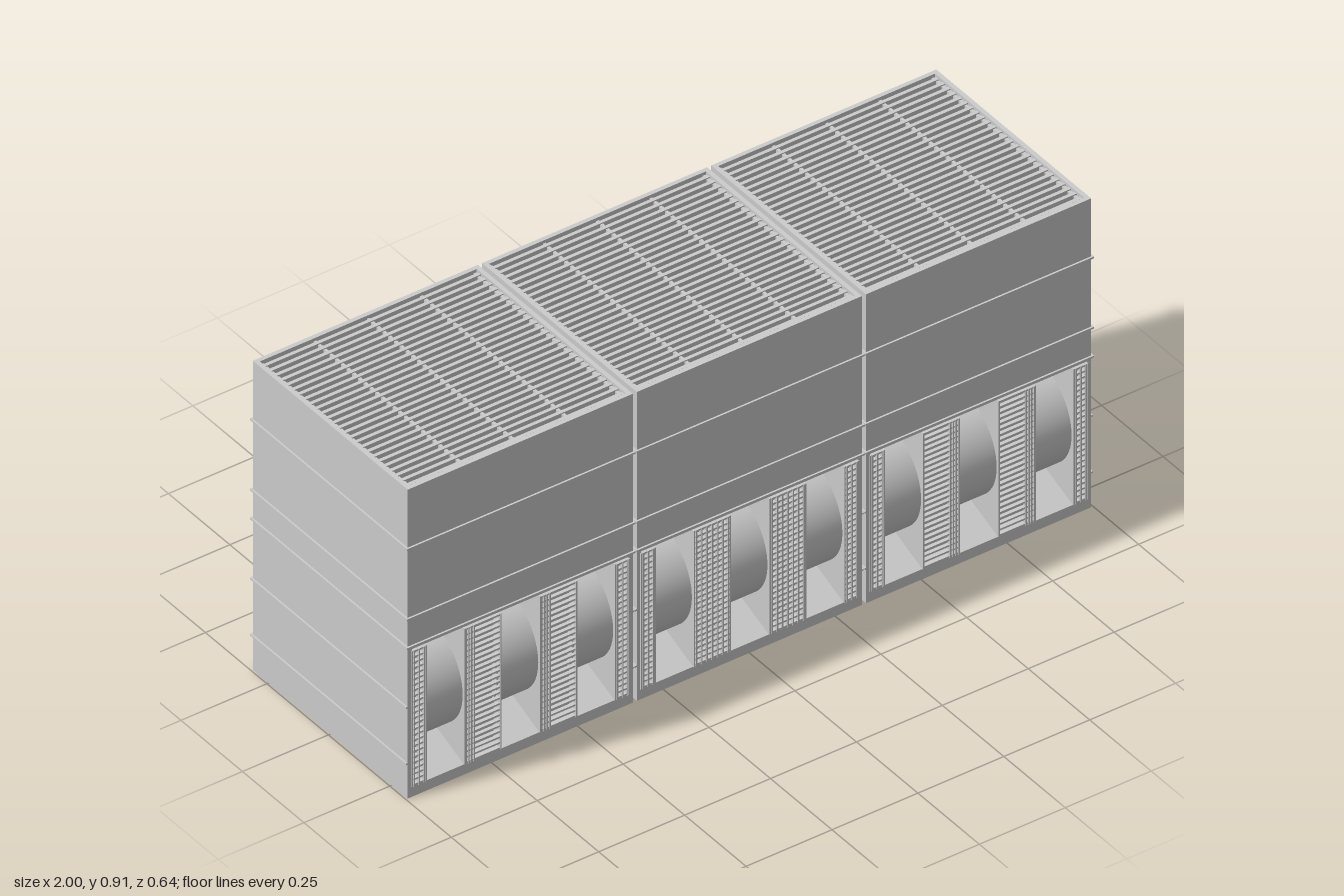
import * as THREE from 'three';
import { mergeGeometries } from 'three/addons/utils/BufferGeometryUtils.js';

const mat = new THREE.MeshStandardMaterial({ color: 0xcccccc });
const W = 0.655, H = 0.91, Z = 0.315, PITCH = 0.667, WALL = 0.012;
const OPEN_LOW = 0.03, OPEN_HIGH = 0.435, BACK = 0.165;

// box from its centre and size
function box(x, y, z, w, h, d) {
  return new THREE.BoxGeometry(w, h, d).translate(x, y, z);
}

function part(name, geometries) {
  const mesh = new THREE.Mesh(mergeGeometries(geometries), mat);
  mesh.name = name;
  return mesh;
}

// side profile (z, y) with a tapered front mouth and a sunken top, run along x
function housing() {
  const profile = new THREE.Shape([
    [-Z, 0], [Z, 0], [Z, OPEN_LOW], [BACK, 0.088], [BACK, 0.376], [Z, OPEN_HIGH],
    [Z, H], [Z - WALL, H], [Z - WALL, H - 0.03], [-Z + WALL, H - 0.03], [-Z + WALL, H], [-Z, H],
  ].map(([z, y]) => new THREE.Vector2(z, y)));
  const inner = W - 2 * WALL;
  const core = new THREE.ExtrudeGeometry(profile, { depth: inner, bevelEnabled: false })
    .translate(0, 0, -inner / 2).rotateY(-Math.PI / 2).toNonIndexed();
  const walls = [-1, 1].map(s =>
    box(s * (W - WALL) / 2, H / 2, 0, WALL, H, 2 * Z).toNonIndexed());
  return part('housing', [core, ...walls]);
}

// thin raised seams; the two low ones leave the front mouth free
function seams() {
  const t = 0.005, out = 0.005, list = [];
  for (const y of [0.445, 0.53, 0.737]) {
    list.push(box(0, y, 0, W + 2 * out, t, 2 * (Z + out)));
  }
  for (const y of [0.102, 0.268]) {
    list.push(box(0, y, -Z, W + 2 * out, t, 2 * out));
    for (const s of [-1, 1]) list.push(box(s * W / 2, y, 0, 2 * out, t, 2 * Z));
  }
  return part('seams', list);
}

// slats along x on a few cross bars
function topGrate() {
  const list = [], slats = 26, w = W - 2 * WALL, d = 2 * (Z - WALL);
  for (let i = 0; i < slats; i++) {
    const z = ((i + 0.5) / slats - 0.5) * d;
    list.push(box(0, H - 0.012, z, w, 0.012, 0.01));
  }
  for (let i = 0; i < 5; i++) {
    list.push(box((i / 4 - 0.5) * (w - 0.012), H - 0.016, 0, 0.008, 0.014, d));
  }
  return part('topGrate', list);
}

function drums() {
  const list = [-0.22, 0, 0.22].map(x =>
    new THREE.CylinderGeometry(0.145, 0.145, 0.13, 64)
      .rotateZ(Math.PI / 2).translate(x, 0.232, BACK));
  return part('drums', list);
}

// screen with a recessed core, edge fins and a lattice of bars
function screen(x, width, dense) {
  const low = OPEN_LOW, high = OPEN_HIGH - 0.004;
  const mid = (low + high) / 2, tall = high - low;
  const list = [box(x, mid, (BACK + 0.29) / 2, width - 0.006, tall, 0.29 - BACK)];
  for (const s of [-1, 1]) {
    list.push(box(x + s * (width / 2 - 0.002), mid, (BACK + 0.318) / 2, 0.004, tall, 0.318 - BACK));
  }
  const rows = 24;
  for (let i = 0; i <= rows; i++) {
    list.push(box(x, low + 0.004 + (tall - 0.008) * i / rows, 0.312, width, 0.005, 0.01));
  }
  // dense: +1 or -1 bunches uprights to that side, 0 spreads them evenly
  const count = Math.max(3, Math.round(width / 0.016));
  for (let i = 0; i < count; i++) {
    const offset = dense === 0
      ? (i + 0.5) / count * width - width / 2
      : dense * (width / 2 - 0.004 - 0.008 * i);
    if (dense === 0 || i < 4) list.push(box(x + offset, mid, 0.314, 0.004, tall, 0.01));
  }
  return part('screen', list);
}

export function createModel() {
  const model = new THREE.Group();
  model.name = 'cabinetRow';
  for (const side of [-1, 0, 1]) {
    const unit = new THREE.Group();
    unit.name = ['rightUnit', 'middleUnit', 'leftUnit'][side + 1];
    unit.add(housing(), seams(), topGrate(), drums());
    for (const s of [-1, 1]) {
      unit.add(screen(s * 0.11, 0.108, side));
      unit.add(screen(s * 0.296, 0.044, 0));
    }
    unit.position.x = side * PITCH;
    model.add(unit);
  }
  return model;
}
